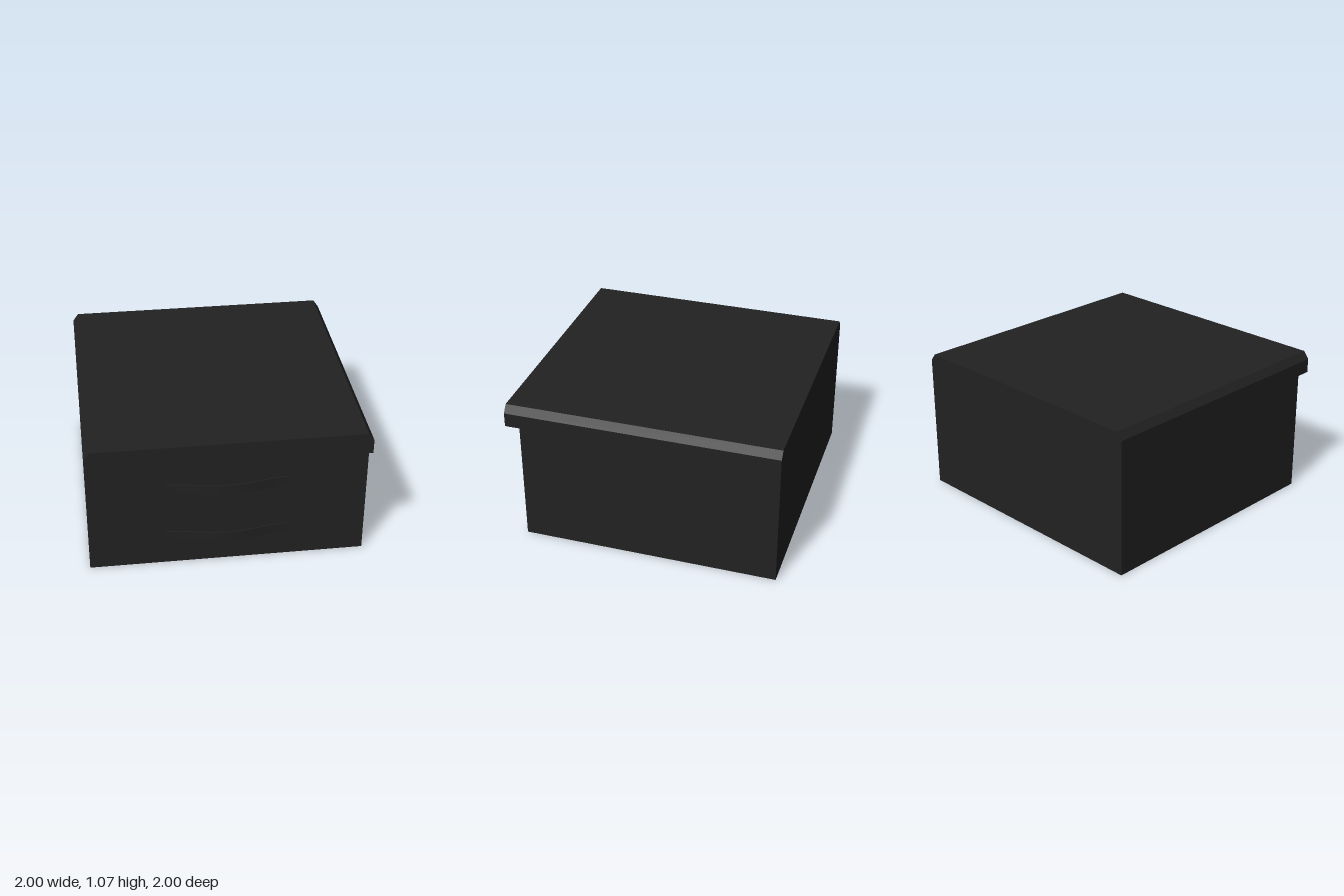
import * as THREE from 'three';

const W = 1, BACK = -1, WALL = 0.89, LIP = 1;          // half width and depths
const LIP_Y = 0.91, EDGE_Y = 1.015, TOP_Y = 1.07, TOP_W = 0.96;

const material = new THREE.MeshStandardMaterial({ color: 0x222222, side: THREE.DoubleSide });

// Flat panel: corners counter-clockwise from outside, fanned from the first one
function panel(name, corners) {
  const index = [];
  for (let i = 1; i < corners.length - 1; i++) index.push(0, i, i + 1);
  const geometry = new THREE.BufferGeometry();
  geometry.setAttribute('position', new THREE.Float32BufferAttribute(corners.flat(), 3));
  geometry.setIndex(index);
  geometry.computeVertexNormals();
  const mesh = new THREE.Mesh(geometry, material);
  mesh.name = name;
  return mesh;
}

// Bowed strip handle with rounded ends, its ends resting on the front wall
function handle(y) {
  const half = 0.45, h = 0.038, r = 0.03, bow = 0.055, thick = 0.01;
  const geometry = new THREE.BoxGeometry(2, 2, thick, 40, 1, 1);
  const p = geometry.attributes.position;
  for (let i = 0; i < p.count; i++) {
    const x = half * Math.sin(p.getX(i) * Math.PI / 2);   // denser samples at the ends
    const d = Math.max(0, Math.abs(x) - (half - r));
    const height = h - r + Math.sqrt(Math.max(0, r * r - d * d));
    const z = bow * (0.5 + 0.5 * Math.cos(Math.PI * x / half));
    p.setXYZ(i, x, p.getY(i) * height, p.getZ(i) + thick / 2 + z);
  }
  geometry.computeVertexNormals();
  const mesh = new THREE.Mesh(geometry, material);
  mesh.name = 'handle';
  mesh.position.set(0, y, WALL);
  return mesh;
}

export function createModel() {
  const model = new THREE.Group();
  model.name = 'drawerCabinet';

  // Thin shell, open underneath
  model.add(
    panel('frontWall', [[-W, 0, WALL], [W, 0, WALL], [W, LIP_Y, WALL], [-W, LIP_Y, WALL]]),
    panel('lipUnderside', [[-W, LIP_Y, WALL], [W, LIP_Y, WALL], [W, LIP_Y, LIP], [-W, LIP_Y, LIP]]),
    panel('lipFront', [[-W, LIP_Y, LIP], [W, LIP_Y, LIP], [W, EDGE_Y, LIP],
      [TOP_W, TOP_Y, LIP], [-TOP_W, TOP_Y, LIP], [-W, EDGE_Y, LIP]]),
    panel('backWall', [[W, 0, BACK], [-W, 0, BACK], [-W, EDGE_Y, BACK],
      [-TOP_W, TOP_Y, BACK], [TOP_W, TOP_Y, BACK], [W, EDGE_Y, BACK]]),
    panel('top', [[-TOP_W, TOP_Y, LIP], [TOP_W, TOP_Y, LIP], [TOP_W, TOP_Y, BACK], [-TOP_W, TOP_Y, BACK]]),
  );

  // Side walls and the bevels above them
  for (const [side, s] of [['left', 1], ['right', -1]]) {
    const wall = [[s * W, LIP_Y, WALL], [s * W, 0, WALL], [s * W, 0, BACK],
      [s * W, EDGE_Y, BACK], [s * W, EDGE_Y, LIP], [s * W, LIP_Y, LIP]];
    const bevel = [[s * W, EDGE_Y, LIP], [s * W, EDGE_Y, BACK],
      [s * TOP_W, TOP_Y, BACK], [s * TOP_W, TOP_Y, LIP]];
    if (s < 0) { wall.reverse(); wall.unshift(wall.pop()); bevel.reverse(); }
    model.add(panel(side + 'Wall', wall), panel(side + 'Bevel', bevel));
  }

  // Two drawer handles
  for (const y of [0.24, 0.65]) model.add(handle(y));

  return model;
}
